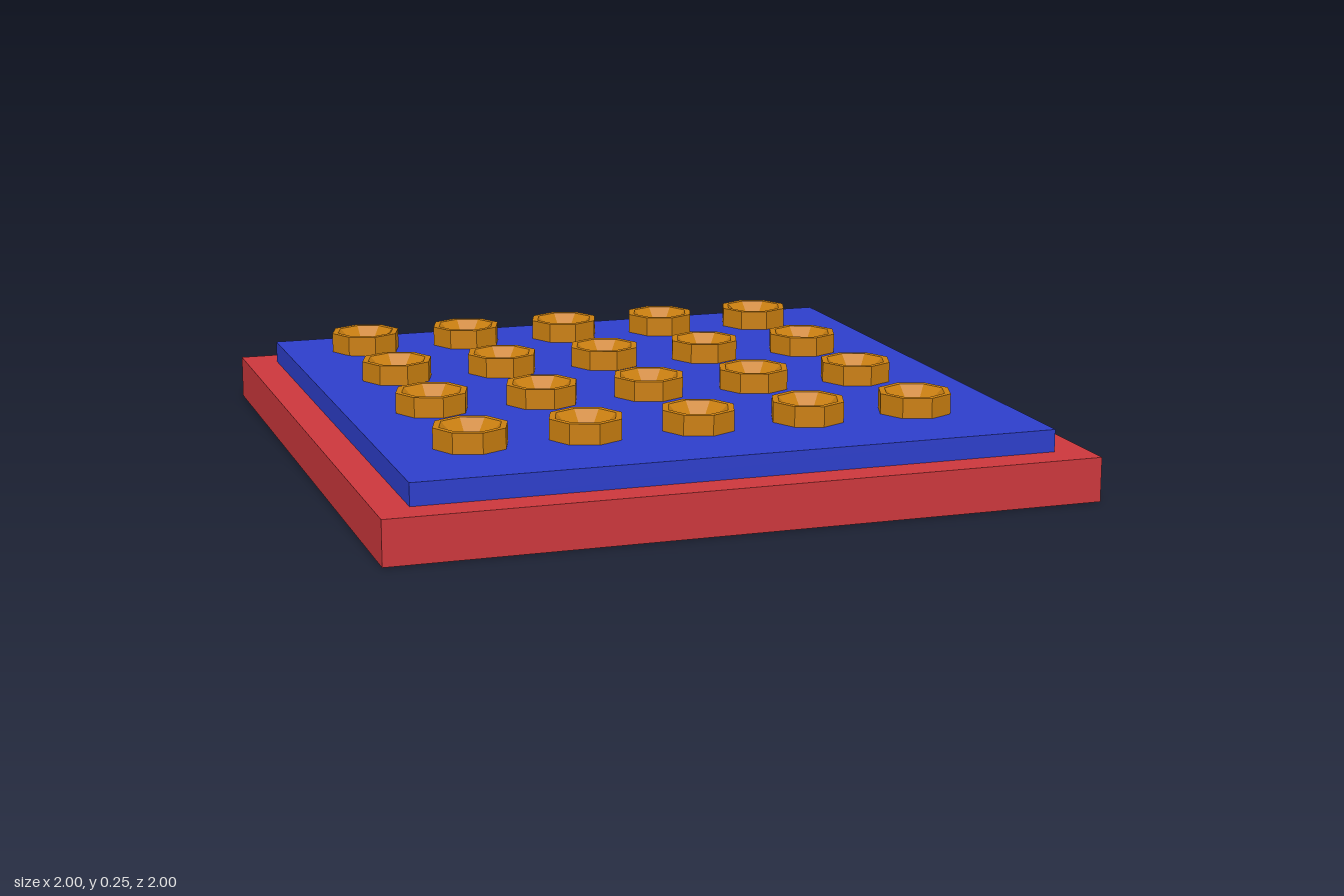
import * as THREE from 'three';

const paint = (color) => new THREE.MeshStandardMaterial({ color, flatShading: true });

// Flat square slab resting on height y
function slab(name, size, y, height, material) {
  const mesh = new THREE.Mesh(new THREE.BoxGeometry(size, height, size), material);
  mesh.name = name;
  mesh.position.y = y + height / 2;
  return mesh;
}

export function createModel() {
  const model = new THREE.Group();
  model.name = 'studdedTile';

  // Stepped base
  model.add(slab('basePlate', 2, 0, 0.125, paint(0xcc373c)));
  model.add(slab('topPlate', 1.81, 0.125, 0.063, paint(0x2d3ecb)));

  // Eight-sided cup: outer wall, narrow rim, sloping bowl, small floor
  const profile = [[0, 0], [0.106, 0], [0.106, 0.058], [0.088, 0.058], [0.043, 0.014], [0, 0.014]]
    .map(([r, y]) => new THREE.Vector2(r, y));
  const cupGeometry = new THREE.LatheGeometry(profile, 8);
  const cupMaterial = paint(0xca7f10);

  // Five columns by four rows of cups
  const cups = new THREE.Group();
  cups.name = 'cups';
  for (let row = 0; row < 4; row++) {
    for (let column = 0; column < 5; column++) {
      const cup = new THREE.Mesh(cupGeometry, cupMaterial);
      cup.name = 'cup';
      cup.position.set(-0.66 + column * 0.322, 0.188, -0.71 + row * 0.43);
      cup.rotation.y = 0.07;
      cups.add(cup);
    }
  }
  model.add(cups);
  return model;
}
